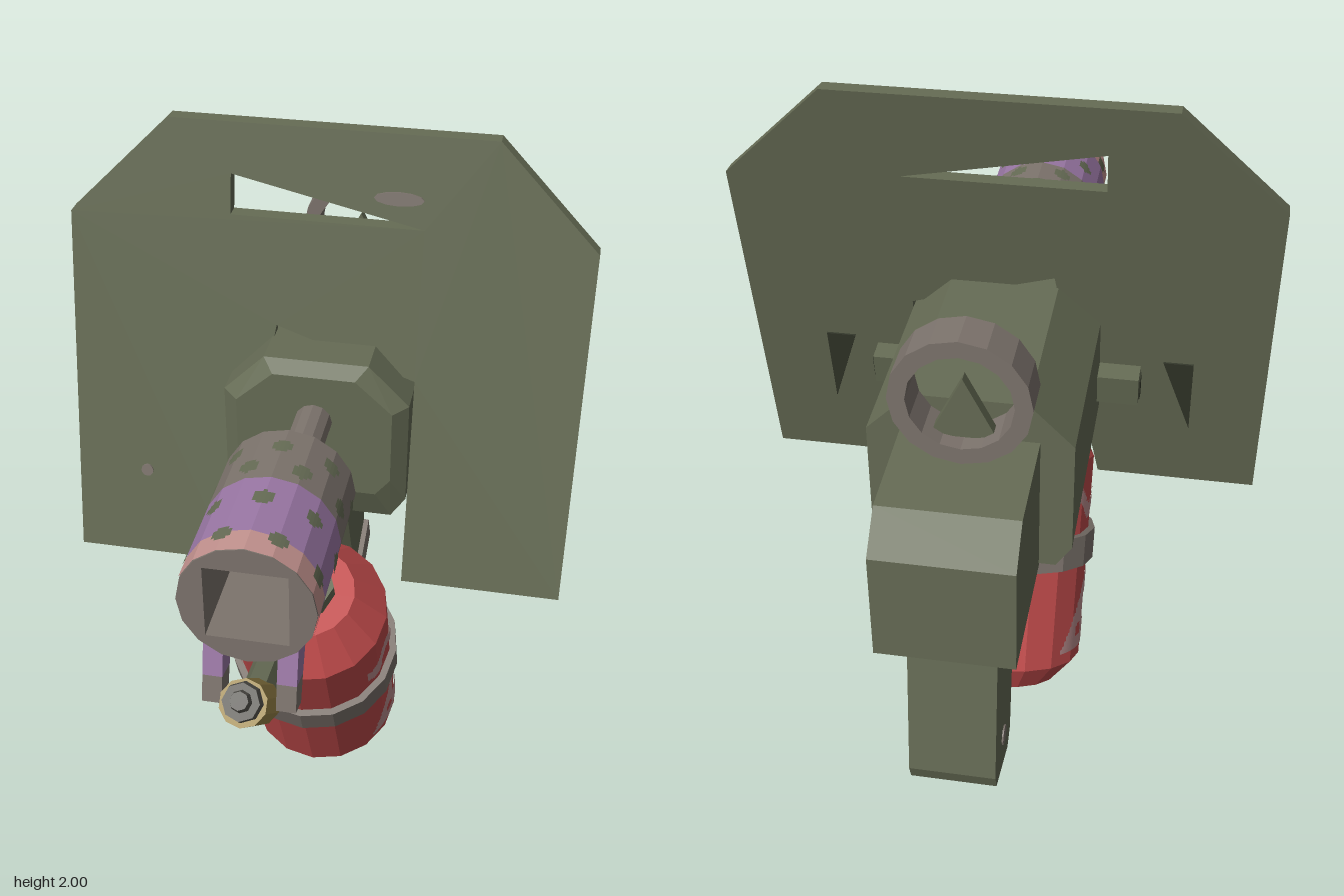
import * as THREE from 'three';
import { ConvexGeometry } from 'three/addons/geometries/ConvexGeometry.js';

const mat = (name, color, flat = true) => {
  const m = new THREE.MeshStandardMaterial({ color });
  m.name = name;
  m.flatShading = flat;
  return m;
};
const V = (x, y, z) => new THREE.Vector3(x, y, z);

export function createModel() {
  const green = mat('olive green', 0x666c55);
  const dark = mat('dark olive', 0x34382b);
  const gray = mat('warm gray', 0x7d746d);
  const red = mat('tank red', 0xc04b4b);
  const purple = mat('purple', 0x9b78a6);
  const pink = mat('pink', 0xc4938f);
  const brass = mat('brass', 0xa08a4c);
  const label = mat('label pink', 0xbd9090);
  const steel = mat('dark steel', 0x5a5852);
  const group = new THREE.Group();

  const add = (name, geo, m, parent = group) => {
    const mesh = new THREE.Mesh(geo, m);
    mesh.name = name;
    parent.add(mesh);
    return mesh;
  };
  // convex block from a side profile of [z, y] points, x0..x1 wide
  const prism = (profile, x0, x1) => new ConvexGeometry(
    profile.flatMap(([z, y]) => [V(x0, y, z), V(x1, y, z)]));
  // cylinder between two points
  const rod = (name, a, b, ra, rb, sides, m) => {
    const mesh = add(name, new THREE.CylinderGeometry(rb, ra, a.distanceTo(b), sides), m);
    mesh.position.copy(a).lerp(b, 0.5);
    mesh.quaternion.setFromUnitVectors(V(0, 1, 0), b.clone().sub(a).normalize());
    return mesh;
  };
  // painted marks on a cylinder around y: small cells kept where inside(a, y)
  const painted = (r, a0, a1, y0, y1, na, ny, inside) => {
    const pos = [], da = (a1 - a0) / na, dy = (y1 - y0) / ny;
    const p = (a, y) => [r * Math.cos(a), y, r * Math.sin(a)];
    for (let i = 0; i < na; i++) for (let j = 0; j < ny; j++) {
      const a = a0 + i * da, y = y0 + j * dy;
      if (!inside(a + da / 2, y + dy / 2)) continue;
      const A = p(a, y), B = p(a, y + dy), C = p(a + da, y + dy), D = p(a + da, y);
      pos.push(...A, ...B, ...C, ...A, ...C, ...D);
    }
    const g = new THREE.BufferGeometry();
    g.setAttribute('position', new THREE.Float32BufferAttribute(pos, 3));
    g.computeVertexNormals();
    return g;
  };

  // Shield: plate with chamfered top, viewing slot and a notch for the receiver, leaning back
  const lean = new THREE.Matrix4().set(1, 0, 0, 0, 0, 1, 0, 0, 0, -0.19, 1, 0.19 * 0.76, 0, 0, 0, 1);
  const poly = pts => pts.map(([x, y]) => new THREE.Vector2(x, y));
  const plate = new THREE.Shape(poly([[-0.695, 0.765], [-0.25, 0.765], [-0.21, 1.0], [-0.13, 1.48],
    [0.25, 1.36], [0.25, 0.765], [0.695, 0.765], [0.695, 1.74], [0.425, 2], [-0.425, 2], [-0.695, 1.74]]));
  plate.holes.push(new THREE.Path(poly([[-0.26, 1.87], [-0.26, 1.765], [0.25, 1.765]])));
  const plateGeo = new THREE.ExtrudeGeometry(plate, { depth: 0.042, bevelEnabled: false });
  add('shield', plateGeo.translate(0, 0, 0.028).applyMatrix4(lean), green);
  for (const [x, y, w, h] of [[0.18, 1.84, 0.13, 0.035], [-0.495, 1.02, 0.035, 0.035]]) {
    const g = new THREE.CylinderGeometry(0.5, 0.5, 0.004, 12).rotateX(Math.PI / 2).scale(w, h, 1);
    add('shieldMark', g.translate(x, y, 0.072).applyMatrix4(lean), gray);
  }
  for (const s of [-1, 1]) {
    const tri = new ConvexGeometry([[0.42, 1.22], [0.5, 1.22], [0.5, 0.98]]
      .flatMap(([x, y]) => [V(s * x, y, 0.022), V(s * x, y, 0.03)]));
    add('shieldRecess', tri.applyMatrix4(lean), dark);
    const box = [[-0.03, 1.2], [-0.115, 1.19], [-0.1, 1.1], [-0.02, 1.1]];
    add('shieldBracket', prism(box, s * 0.2, s * 0.36), green);
    const opening = [[-0.065, 1.185], [-0.105, 1.18], [-0.092, 1.115], [-0.06, 1.115]];
    add('bracketOpening', prism(opening, s * 0.36, s * 0.364), dark);
  }

  // Receiver: bevelled octagonal body and the rear block
  const oct = (z, top, bottom, wide, wTop, wLow, bevel) => [-1, 1].flatMap(s => [
    V(s * wTop, top, z), V(s * wide, top - bevel, z), V(s * wide, bottom + bevel * 0.55, z), V(s * wLow, bottom, z)]);
  add('receiver', new ConvexGeometry([
    ...oct(-0.61, 1.44, 0.96, 0.25, 0.14, 0.21, 0.11),
    ...oct(0.05, 1.45, 0.98, 0.25, 0.14, 0.21, 0.11),
    ...oct(0.085, 1.42, 1.07, 0.21, 0.11, 0.17, 0.09)]), green);
  add('rearBlock', prism([[-0.6, 1.335], [-0.88, 1.325], [-0.965, 1.24], [-0.965, 0.95], [-0.6, 0.95]], -0.168, 0.168), green);

  // Grip, fore grip, trigger and its guard
  add('grip', prism([[-0.61, 0.96], [-0.7, 0.455], [-0.74, 0.42], [-0.91, 0.465], [-0.925, 0.51], [-0.87, 0.96]], -0.11, 0.11), green);
  for (const s of [-1, 1]) for (const [z, y] of [[-0.75, 0.845], [-0.805, 0.54]]) {
    const g = new THREE.CylinderGeometry(0.026, 0.026, 0.006, 10).rotateZ(Math.PI / 2);
    add('gripMark', g.translate(s * 0.111, y, z), gray);
  }
  add('foreGrip', prism([[0, 0.98], [-0.3, 0.98], [-0.325, 0.405], [-0.25, 0.378], [0, 0.93]], -0.08, 0.08), green);
  add('trigger', prism([[-0.49, 0.96], [-0.6, 0.96], [-0.515, 0.83]], -0.03, 0.03), green);
  const guard = [[[-0.385, 0.96], [-0.425, 0.96], [-0.425, 0.78], [-0.39, 0.77]],
    [[-0.39, 0.77], [-0.425, 0.79], [-0.46, 0.745], [-0.435, 0.705]],
    [[-0.435, 0.705], [-0.45, 0.745], [-0.66, 0.725], [-0.66, 0.705]]];
  for (const g of guard) add('triggerGuard', prism(g, -0.05, 0.05), green);

  // Rear sight ring with a blade
  const ring = new THREE.Shape().absarc(0, 0, 0.167, 0, Math.PI * 2);
  ring.holes.push(new THREE.Path().absarc(0, 0, 0.125, 0, Math.PI * 2, true));
  add('sightRing', new THREE.ExtrudeGeometry(ring, { depth: 0.105, bevelEnabled: false, curveSegments: 8 })
    .translate(0, 1.505, -0.72), gray);
  add('sightBlade', new ConvexGeometry([[-0.08, -0.12], [0.08, -0.12], [0, 0.04]]
    .flatMap(([x, y]) => [V(x, 1.505 + y, -0.68), V(x, 1.505 + y, -0.65)])), green);

  // Barrel and the spotted muzzle, built along y then turned to face +z
  rod('barrel', V(0, 1.288, 0.06), V(0, 1.288, 0.34), 0.05, 0.05, 12, gray);
  const muzzle = new THREE.Group();
  muzzle.name = 'muzzle';
  muzzle.position.y = 1.288;
  muzzle.rotation.x = Math.PI / 2;
  group.add(muzzle);
  const R = 0.166;
  for (const [name, y0, y1, r0, m] of [['muzzleTaper', 0.32, 0.385, 0.115, gray], ['muzzleRear', 0.385, 0.585, R, gray],
    ['muzzleMiddle', 0.585, 0.79, R, purple], ['muzzleTip', 0.79, 0.86, R, pink]]) {
    add(name, new THREE.CylinderGeometry(R, r0, y1 - y0, 16, 1, true).translate(0, (y0 + y1) / 2, 0), m, muzzle);
  }
  add('muzzleBack', new THREE.CircleGeometry(0.115, 16).rotateX(Math.PI / 2).translate(0, 0.32, 0), gray, muzzle);
  const face = new THREE.Shape().absarc(0, 0, R, 0, Math.PI * 2);
  face.holes.push(new THREE.Path(poly([[-0.1, -0.1], [-0.1, 0.1], [0.1, 0.1], [0.1, -0.1]])));
  add('muzzleFace', new THREE.ExtrudeGeometry(face, { depth: 0.3, bevelEnabled: false, curveSegments: 8 })
    .scale(0.985, 0.985, 1).translate(0, 1.288, 0.56), gray);
  add('boreEnd', new THREE.BoxGeometry(0.2, 0.2, 0.01).translate(0, 1.288, 0.57), green);
  const rows = [0.8, 0.665, 0.54, 0.455];
  add('muzzleSpots', painted(R + 0.002, 0, Math.PI * 2, 0.4, 0.84, 110, 50, (a, y) => rows.some((row, i) => {
    const step = Math.PI / 4, t = a / step + (i % 2) * 0.5;
    return Math.hypot((t - Math.floor(t) - 0.5) * step * R, y - row) < 0.024;
  })), green, muzzle);

  // Igniter: two struts, brass nozzle and steel tip
  for (const s of [-1, 1]) {
    add('strutTop', prism([[0.825, 1.18], [0.74, 1.14], [0.785, 1.04], [0.855, 1.06]], s * 0.065, s * 0.113), purple);
    add('strutFoot', prism([[0.855, 1.06], [0.785, 1.04], [0.81, 0.97], [0.87, 0.99]], s * 0.065, s * 0.113), gray);
  }
  rod('igniterNozzle', V(0, 0.925, 0.785), V(0, 1.05, 0.92), 0.058, 0.058, 10, brass);
  rod('igniterCollar', V(0, 1.045, 0.91), V(0, 1.072, 0.94), 0.05, 0.045, 8, steel);
  rod('igniterTip', V(0, 1.07, 0.935), V(0, 1.09, 0.955), 0.028, 0.022, 8, steel);

  // Hose from the igniter down to the tank
  const path = new THREE.CatmullRomCurve3([V(0, 0.95, 0.78), V(0, 0.925, 0.6), V(0, 0.935, 0.42),
    V(0, 0.91, 0.32), V(0, 0.85, 0.24), V(0, 0.77, 0.2)]);
  add('hose', new THREE.TubeGeometry(path, 14, 0.042, 6), green);

  // Tank: tilted canister with neck, strap and clamp
  const tank = new THREE.Group();
  tank.name = 'tank';
  tank.position.set(0, 0.135, -0.093);
  tank.rotation.x = 0.426;
  group.add(tank);
  const profile = poly([[0, -0.076], [0.16, -0.076], [0.225, 0], [0.225, 0.628], [0.14, 0.735], [0, 0.735]]);
  add('tankBody', new THREE.LatheGeometry(profile, 16), red, tank);
  add('tankNeck', new THREE.CylinderGeometry(0.085, 0.085, 0.05, 8).translate(0, 0.755, 0), green, tank);
  add('tankNut', new THREE.CylinderGeometry(0.055, 0.06, 0.05, 6).translate(0, 0.795, 0), green, tank);
  const strap = poly([[0.22, 0.31], [0.245, 0.31], [0.245, 0.405], [0.22, 0.405]]);
  add('tankStrap', new THREE.LatheGeometry(strap, 16), gray, tank);
  add('tankClamp', new THREE.BoxGeometry(0.19, 0.09, 0.2).translate(0, 0.358, -0.325), gray, tank);

  // Tank labels on both sides: warning triangle and a wavy flourish
  const inTriangle = (u, y) => {
    if (y < 0.04 || Math.abs(u) > (0.295 - y) * 0.58) return false;
    const edge = y < 0.065 || Math.abs(u) > (0.295 - y) * 0.58 - 0.028;
    const bar = Math.abs(u) < 0.016 && y > 0.125 && y < 0.2;
    const dots = Math.hypot(Math.abs(u) - 0.05, y - 0.095) < 0.022;
    return edge || !(bar || dots);
  };
  const inWave = (u, y) => Math.abs(u) < 0.135 &&
    (Math.abs(y - 0.5 - 0.03 * Math.sin(u * 42)) < 0.024 || Math.hypot(u - 0.1, y - 0.47) < 0.03);
  for (const side of [0, Math.PI]) {
    const u = a => (side ? side - a : a) * 0.225;
    add('tankLabel', painted(0.227, side - 0.75, side + 0.75, 0.03, 0.57, 44, 70,
      (a, y) => inTriangle(u(a), y) || inWave(u(a), y)), label, tank);
  }
  return group;
}
